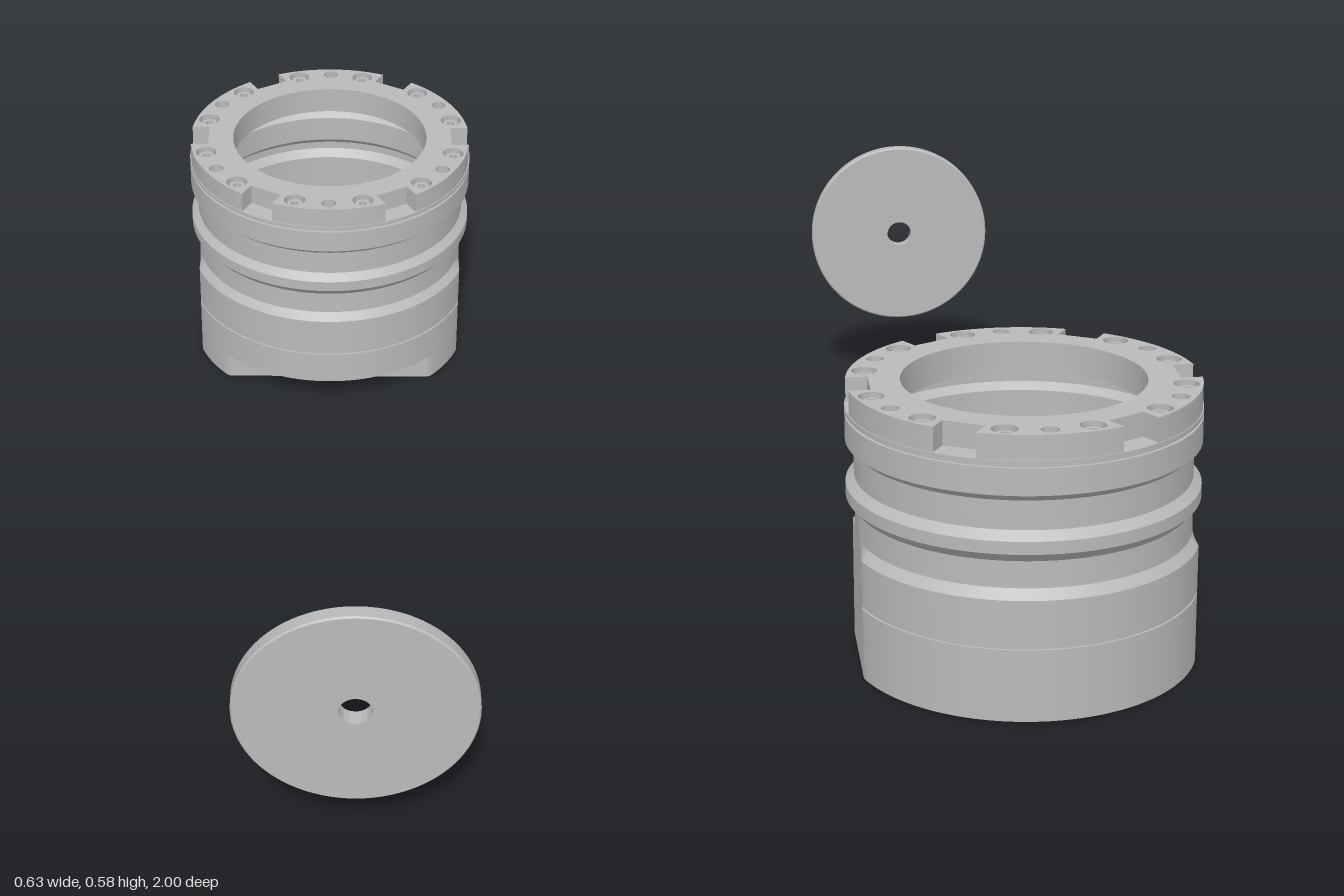
import * as THREE from 'three';
import { toCreasedNormals } from 'three/addons/utils/BufferGeometryUtils.js';

const grey = new THREE.MeshStandardMaterial({ color: 0xbababa });
grey.name = 'machined grey';

const FLAT = 0.297; // distance of the two side flats from the axis
const CUT = 0.215; // distance of the connector face from the axis
const clamp = THREE.MathUtils.clamp;

function part(name, geometry, parent, x = 0, y = 0, z = 0) {
  const mesh = new THREE.Mesh(geometry, grey);
  mesh.name = name;
  mesh.position.set(x, y, z);
  parent.add(mesh);
  return mesh;
}

function lathe(points, segments = 180) {
  return new THREE.LatheGeometry(points.map(([r, y]) => new THREE.Vector2(r, y)), segments);
}

function addHole(shape, x, y, r, segments = 24) {
  const pts = [];
  for (let i = 0; i < segments; i++) {
    const a = -i / segments * Math.PI * 2;
    pts.push(new THREE.Vector2(x + r * Math.cos(a), y + r * Math.sin(a)));
  }
  shape.holes.push(new THREE.Path(pts));
}

// Extrudes a plan outline upwards
function slab(shape, height) {
  const g = new THREE.ExtrudeGeometry(shape, { depth: height, bevelEnabled: false });
  g.rotateX(-Math.PI / 2);
  return toCreasedNormals(g, 0.4);
}

function polar(r, degrees) {
  const a = THREE.MathUtils.degToRad(degrees);
  return [r * Math.cos(a), r * Math.sin(a)];
}

// Foot with side flats, straight connector face and mounting holes
function footGeometry() {
  const pts = [];
  for (let i = 0; i < 180; i++) {
    const [x, y] = polar(0.315, i * 2);
    pts.push(new THREE.Vector2(clamp(x, -FLAT, FLAT), Math.max(y, -CUT)));
  }
  const shape = new THREE.Shape(pts);
  addHole(shape, 0, 0, 0.05, 40);
  for (let i = 0; i < 4; i++) {
    addHole(shape, ...polar(0.277, 45 + i * 90), 0.018);
    addHole(shape, ...polar(0.082, 45 + i * 90), 0.007, 12);
  }
  return slab(shape, 0.058);
}

// Hollow waisted housing, flattened on both sides low down
function housingGeometry() {
  const g = lathe([
    [0.033, 0.058], [0.315, 0.058], [0.315, 0.131], [0.311, 0.131], [0.311, 0.135], [0.315, 0.135],
    [0.315, 0.22], [0.301, 0.237], [0.3, 0.285], [0.315, 0.302], [0.315, 0.325],
    [0.3, 0.34], [0.3, 0.392], [0.315, 0.405], [0.315, 0.453], [0.309, 0.453], [0.309, 0.458],
    [0.315, 0.458], [0.315, 0.466], [0.217, 0.466], [0.217, 0.452], [0.3, 0.452],
    [0.3, 0.408], [0.285, 0.395], [0.285, 0.337], [0.3, 0.322], [0.3, 0.305], [0.285, 0.288],
    [0.285, 0.09], [0.048, 0.09], [0.048, 0.075], [0.033, 0.075], [0.033, 0.058],
  ]);
  const p = g.attributes.position;
  for (let i = 0; i < p.count; i++) {
    if (p.getY(i) < 0.24) p.setX(i, clamp(p.getX(i), -FLAT, FLAT));
  }
  return toCreasedNormals(g, 0.4);
}

// Bolt ring with six rim notches
function ringGeometry() {
  const R = 0.313, depth = 0.272, half = 0.038;
  const edge = THREE.MathUtils.radToDeg(Math.asin(half / R));
  const pts = [];
  for (let k = 0; k < 6; k++) {
    const c = k * 60, a = THREE.MathUtils.degToRad(c);
    for (const s of [-half, half]) {
      pts.push(new THREE.Vector2(
        depth * Math.cos(a) - s * Math.sin(a), depth * Math.sin(a) + s * Math.cos(a)));
    }
    for (let i = 0; i <= 20; i++) {
      pts.push(new THREE.Vector2(...polar(R, c + edge + (60 - 2 * edge) * i / 20)));
    }
  }
  const shape = new THREE.Shape(pts);
  addHole(shape, 0, 0, 0.217, 96);
  for (let i = 0; i < 12; i++) addHole(shape, ...polar(0.284, 15 + i * 30), 0.023);
  for (let i = 0; i < 6; i++) addHole(shape, ...polar(0.287, 30 + i * 60), 0.016);
  return slab(shape, 0.045);
}

// Thin raised socket frame, optionally with two clipped corners
function frameGeometry(w, h, clip) {
  const outline = (t) => {
    const a = w / 2 - t, b = h / 2 - t;
    return [[-a + clip, -b], [a, -b], [a, b], [-a + clip, b], [-a, b - clip], [-a, -b + clip]]
      .map(([x, y]) => new THREE.Vector2(x, y));
  };
  const shape = new THREE.Shape(outline(0));
  shape.holes.push(new THREE.Path(outline(0.003).reverse()));
  return new THREE.ExtrudeGeometry(shape, { depth: 0.003, bevelEnabled: false });
}

export function createModel() {
  const model = new THREE.Group();
  model.name = 'housingAndDisc';

  const body = new THREE.Group();
  body.name = 'body';
  body.position.z = -0.685;
  model.add(body);

  part('foot', footGeometry(), body);
  part('housing', housingGeometry(), body);
  part('boltRing', ringGeometry(), body, 0, 0.465, 0);

  // Screws sunk in the ring
  const screw = toCreasedNormals(lathe(
    [[0.016, 0], [0.016, 0.036], [0.009, 0.036], [0.009, 0.022], [0, 0.022]], 20), 0.4);
  for (let i = 0; i < 12; i++) {
    const [x, z] = polar(0.284, 15 + i * 30);
    part('screw', screw, body, x, 0.466, z);
  }

  // Small pins on the floor around the bore and in the two side notches
  const pin = new THREE.CylinderGeometry(0.009, 0.009, 0.006, 16);
  for (let i = 0; i < 4; i++) {
    const [x, z] = polar(0.082, 45 + i * 90);
    part('floorPin', pin, body, x, 0.092, z);
  }
  for (const s of [-1, 1]) part('notchPin', pin, body, s * 0.29, 0.467, 0);

  // Two pairs of sockets on the connector face
  for (const x of [0, 0.134]) {
    part('smallSocket', frameGeometry(0.027, 0.037, 0), body, x - 0.107, 0.031, CUT);
    part('largeSocket', frameGeometry(0.076, 0.036, 0.011), body, x - 0.054, 0.031, CUT);
    part('socketKey', new THREE.BoxGeometry(0.008, 0.005, 0.003), body, x - 0.054, 0.045, CUT + 0.0015);
  }

  // Separate disc with a central hole
  const disc = lathe([
    [0.029, 0], [0.21, 0], [0.213, 0.003], [0.213, 0.027], [0.21, 0.03], [0.029, 0.03], [0.029, 0],
  ], 128);
  disc.rotateX(Math.PI / 2);
  part('disc', toCreasedNormals(disc, 0.4), model, 0.057, 0.365, 0.97);

  return model;
}
